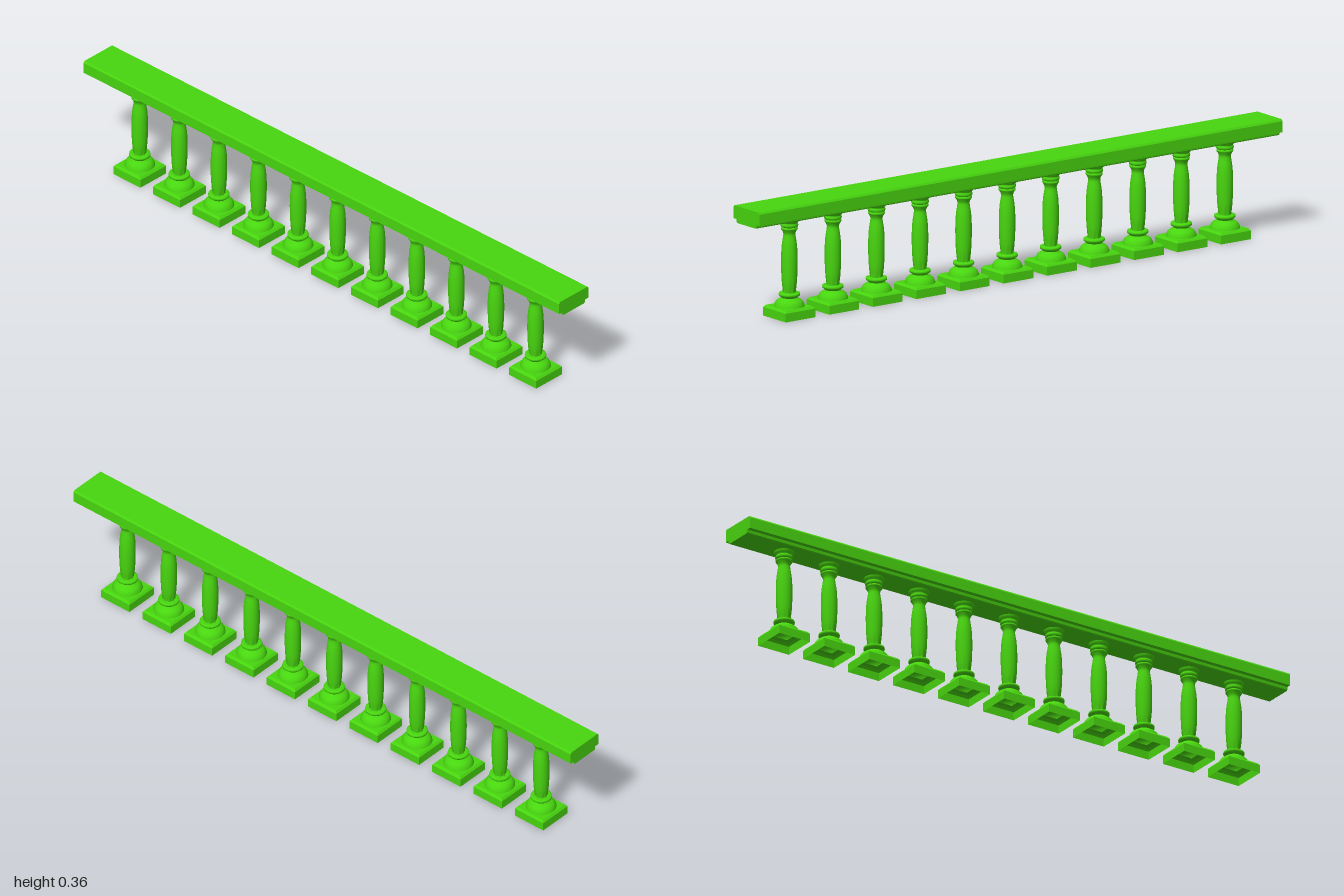
import * as THREE from 'three';

const green = new THREE.MeshStandardMaterial({ color: 0x48d60f });
green.name = 'green';
green.side = THREE.DoubleSide;

const COUNT = 11;
const SPACING = 0.1665;

// Rail: moulded cross-section swept along z
function railGeometry() {
  const half = [[0.046, 0.307], [0.049, 0.31], [0.05, 0.319], [0.065, 0.319], [0.065, 0.354], [0.061, 0.36]];
  const outline = [...half, ...half.map(([x, y]) => [-x, y]).reverse()];
  const shape = new THREE.Shape(outline.map(([x, y]) => new THREE.Vector2(x, y)));
  const geo = new THREE.ExtrudeGeometry(shape, { depth: 2, bevelEnabled: false });
  return geo.translate(0, 0, -1);
}

// Plinth: square, chamfered, hollow and open underneath
function plinthGeometry() {
  const profile = [[0.057, 0], [0.057, 0.027], [0.051, 0.034], [0.034, 0.034]];
  const points = profile.map(([h, y]) => new THREE.Vector2(h * Math.SQRT2, y));
  const geo = new THREE.LatheGeometry(points, 4).rotateY(Math.PI / 4).toNonIndexed();
  geo.computeVertexNormals();
  return geo;
}

function turned(profile, segments = 32) {
  return new THREE.LatheGeometry(profile.map(([r, y]) => new THREE.Vector2(r, y)), segments);
}

// Shaft: swelling column whose foot is lightly fluted
function shaftGeometry() {
  const curve = new THREE.SplineCurve([
    [0.018, 0.074], [0.0195, 0.085], [0.023, 0.108], [0.025, 0.145], [0.0252, 0.19],
    [0.0232, 0.225], [0.0195, 0.25], [0.0188, 0.262], [0.024, 0.273],
  ].map(([r, y]) => new THREE.Vector2(r, y)));
  const geo = new THREE.LatheGeometry(curve.getPoints(24), 32);
  const p = geo.attributes.position;
  for (let i = 0; i < p.count; i++) {
    const fade = Math.max(0, 1 - (p.getY(i) - 0.074) / 0.035);
    const k = 1 + 0.09 * fade * Math.cos(8 * Math.atan2(p.getZ(i), p.getX(i)));
    p.setX(i, p.getX(i) * k);
    p.setZ(i, p.getZ(i) * k);
  }
  geo.computeVertexNormals();
  return geo;
}

export function createModel() {
  const group = new THREE.Group();
  group.name = 'balustrade';

  const parts = {
    plinth: plinthGeometry(),
    // Rounded base moulding
    baseMoulding: turned([[0.047, 0.034], [0.046, 0.039], [0.043, 0.046], [0.039, 0.051], [0.033, 0.055], [0.026, 0.058], [0.024, 0.061]]),
    // Ring at the foot of the shaft
    footRing: turned([[0.024, 0.06], [0.028, 0.064], [0.032, 0.067], [0.033, 0.071], [0.032, 0.075], [0.026, 0.076], [0.017, 0.076]]),
    shaft: shaftGeometry(),
    // Collar and flared capital under the rail
    collar: turned([[0.022, 0.272], [0.0255, 0.274], [0.026, 0.278], [0.024, 0.281], [0.022, 0.282]]),
    capital: turned([[0.022, 0.281], [0.026, 0.283], [0.0275, 0.288], [0.026, 0.293], [0.024, 0.295], [0.028, 0.298], [0.031, 0.303], [0.032, 0.308]]),
  };

  for (let i = 0; i < COUNT; i++) {
    const baluster = new THREE.Group();
    baluster.name = 'baluster' + (i + 1);
    for (const [name, geo] of Object.entries(parts)) {
      const mesh = new THREE.Mesh(geo, green);
      mesh.name = name;
      baluster.add(mesh);
    }
    baluster.position.set(0.002, 0, 0.005 + (i - (COUNT - 1) / 2) * SPACING);
    group.add(baluster);
  }

  const rail = new THREE.Mesh(railGeometry(), green);
  rail.name = 'rail';
  group.add(rail);
  return group;
}
